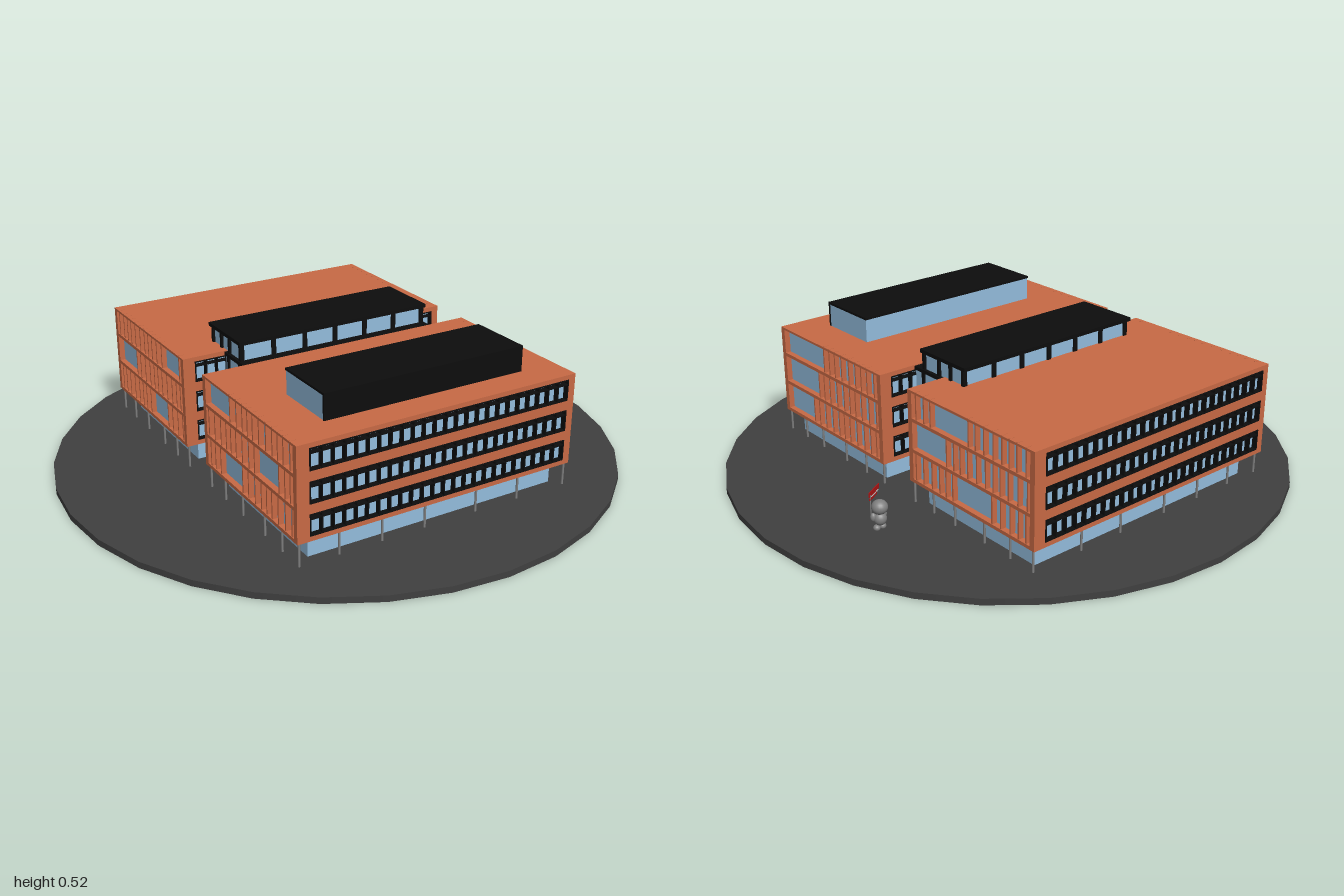
import * as THREE from 'three';
import { mergeGeometries } from 'three/addons/utils/BufferGeometryUtils.js';

const mat = (color) => new THREE.MeshStandardMaterial({ color });
const brick = mat(0xc86a45), glass = mat(0x93bcdc), black = mat(0x0d0d0d);
const asphalt = mat(0x404040), steel = mat(0x808080), red = mat(0xb01515), white = mat(0xe8e8e8);

const X0 = -0.535, X1 = 0.51;           // width of both blocks
const BASE = 0.105, ROOF = 0.43;        // underside and top of both blocks
const FLOORS = [0.105, 0.213, 0.322];   // floor slab levels
const WALL = 0.02;

function add(group, name, geometry, material) {
  const mesh = new THREE.Mesh(geometry, material);
  mesh.name = name;
  group.add(mesh);
  return mesh;
}

// Box from its limits
function span(x0, x1, y0, y1, z0, z1) {
  return new THREE.BoxGeometry(x1 - x0, y1 - y0, z1 - z0)
    .translate((x0 + x1) / 2, (y0 + y1) / 2, (z0 + z1) / 2);
}

function rectPath(PathType, x0, x1, y0, y1) {
  const p = new PathType();
  p.moveTo(x0, y0);
  p.lineTo(x1, y0);
  p.lineTo(x1, y1);
  p.lineTo(x0, y1);
  p.closePath();
  return p;
}

// Brick wall with three window strips; its outer face is at z = 0, facing +z
function createFacade() {
  const facade = new THREE.Group();
  facade.name = 'facade';
  const wx0 = X0 + 0.045, wx1 = X1 - 0.03;
  const wall = rectPath(THREE.Shape, X0, X1, BASE, ROOF);
  const bars = [];
  for (const f of FLOORS) {
    const y0 = f + 0.018, y1 = f + 0.092;
    wall.holes.push(rectPath(THREE.Path, wx0, wx1, y0, y1));
    // Window frame, transom and mullions
    for (const y of [y0, y0 + 0.055, y1 - 0.004]) bars.push(span(wx0, wx1, y, y + 0.004, -WALL, 0.003));
    for (let i = 0; i <= 24; i++) {
      const x = wx0 + (wx1 - wx0) * i / 24;
      bars.push(span(x - 0.002, x + 0.002, y0, y1, -WALL, 0.003));
    }
  }
  const geometry = new THREE.ExtrudeGeometry(wall, { depth: WALL, bevelEnabled: false });
  add(facade, 'brickWall', geometry.translate(0, 0, -WALL), brick);
  add(facade, 'windowFrames', mergeGeometries(bars), black);
  return facade;
}

// Office block between z0 and z1, raised on columns over a glazed ground floor
function createBlock(name, z0, z1, gaps) {
  const block = new THREE.Group();
  block.name = name;

  const front = createFacade();
  front.position.z = z1;
  const back = createFacade();
  back.rotation.y = Math.PI;
  back.position.set(X0 + X1, 0, z0);
  block.add(front, back);

  add(block, 'glassCore',
    span(X0 + 0.02, X1 - 0.02, BASE + 0.004, ROOF - 0.006, z0 + 0.016, z1 - 0.016), glass);
  add(block, 'roof', span(X0, X1, ROOF - 0.008, ROOF, z0 + 0.001, z1 - 0.001), brick);
  add(block, 'floorSlabs', mergeGeometries(FLOORS.map((f) =>
    span(X0, X1, f, f + 0.012, z0 + 0.001, z1 - 0.001))), brick);

  // Vertical side fins, leaving one wide pane per floor
  const fins = [];
  for (const [x0, x1, side] of [[X0 + 0.002, X0 + 0.022, 0], [X1 - 0.022, X1 - 0.002, 1]]) {
    FLOORS.forEach((f, floor) => {
      const [start, end] = gaps[side][floor];
      for (let i = 1; i < 16; i++) {
        const t = i / 16 + 0.008 * Math.sin(i * 5 + floor * 2);
        if (t > start && t < end) continue;
        const z = z1 - t * (z1 - z0);
        fins.push(span(x0, x1, f + 0.01, f + 0.109, z - 0.003, z + 0.003));
      }
    });
  }
  add(block, 'sideFins', mergeGeometries(fins), brick);

  add(block, 'groundFloorGlass', span(-0.475, 0.468, 0.02, BASE, z0 + 0.045, z1 - 0.045), glass);

  // Columns round the perimeter
  const columns = [];
  const column = (x, z) => columns.push(
    new THREE.CylinderGeometry(0.004, 0.004, 0.085, 8).translate(x, 0.0625, z));
  for (const x of [-0.525, -0.385, -0.23, -0.07, 0.13, 0.3, 0.497]) {
    column(x, z0 + 0.018);
    column(x, z1 - 0.008);
  }
  for (const t of [0.18, 0.36, 0.6, 0.8]) {
    for (const x of [-0.525, 0.497]) column(x, z1 - t * (z1 - z0));
  }
  add(block, 'columns', mergeGeometries(columns), steel);
  return block;
}

// Glazed link between the blocks with a raised roof lantern
function createAtrium() {
  const atrium = new THREE.Group();
  atrium.name = 'atrium';
  const x0 = -0.38, x1 = 0.37;
  add(atrium, 'linkGlass', span(x0 + 0.006, x1 - 0.006, BASE, 0.42, -0.105, 0.045), glass);
  add(atrium, 'lanternGlass', span(x0 + 0.012, x1 - 0.012, 0.42, 0.488, -0.205, 0), glass);
  add(atrium, 'lanternRoof', span(x0, x1, 0.485, 0.498, -0.222, 0.012), black);
  add(atrium, 'linkRoof', span(x0, x1, 0.415, 0.427, -0.105, 0.045), black);

  const frame = [];
  for (const y of [BASE, 0.213, 0.322]) frame.push(span(x0, x1, y - 0.003, y + 0.009, -0.105, 0.045));
  for (const z of [0, -0.08]) frame.push(span(x0, x1, BASE, 0.42, z - 0.006, z + 0.006));
  for (let i = 0; i <= 6; i++) {
    const x = x0 + 0.012 + (x1 - x0 - 0.024) * i / 6;
    for (const z of [0, -0.205]) frame.push(span(x - 0.008, x + 0.008, 0.42, 0.486, z - 0.006, z + 0.006));
  }
  for (const x of [x0 + 0.01, x1 - 0.01]) {
    for (const z of [-0.08, -0.14]) frame.push(span(x - 0.006, x + 0.006, 0.42, 0.486, z - 0.006, z + 0.006));
  }
  add(atrium, 'frame', mergeGeometries(frame), black);
  return atrium;
}

// Roof room: dark front and cap, glazed sides and back
function createRoofRoom() {
  const room = new THREE.Group();
  room.name = 'roofRoom';
  add(room, 'roomGlass', span(-0.378, 0.368, ROOF, 0.514, 0.327, 0.555), glass);
  add(room, 'roomCap', span(-0.38, 0.37, 0.512, 0.52, 0.325, 0.56), black);
  add(room, 'roomFront', span(-0.38, 0.37, ROOF, 0.52, 0.553, 0.56), black);
  return room;
}

// Small standing figure holding up a flag
function createFigure() {
  const figure = new THREE.Group();
  figure.name = 'figure';
  const ball = (name, r, x, y, z, sy = 1) => {
    const mesh = add(figure, name, new THREE.SphereGeometry(r, 20, 14), steel);
    mesh.position.set(x, y, z);
    mesh.scale.y = sy;
  };
  ball('head', 0.027, 0, 0.108, 0, 0.9);
  ball('body', 0.022, 0, 0.068, 0, 1.05);
  for (const s of [-1, 1]) {
    ball('foot', 0.012, s * 0.011, 0.036, 0.004, 0.9);
    ball('arm', 0.01, s * 0.02, 0.075, 0.008, 1.5);
  }
  const flag = new THREE.Group();
  flag.name = 'flag';
  add(flag, 'flagCloth', new THREE.BoxGeometry(0.074, 0.016, 0.003).translate(0, 0.009, 0), red);
  add(flag, 'flagStripe', new THREE.BoxGeometry(0.05, 0.005, 0.003).translate(-0.006, -0.002, 0), white);
  add(flag, 'flagHem', new THREE.BoxGeometry(0.055, 0.008, 0.003).translate(0.006, -0.008, 0), red);
  flag.position.set(-0.013, 0.133, 0.048);
  flag.rotation.y = 0.55;
  figure.add(flag);
  const pole = add(figure, 'flagPole', new THREE.CylinderGeometry(0.002, 0.002, 0.075, 8), steel);
  pole.position.set(0.012, 0.105, 0.032);
  figure.position.set(0.695, 0, -0.195);
  return figure;
}

export function createModel() {
  const model = new THREE.Group();
  model.name = 'officeBuilding';
  const disc = new THREE.CylinderGeometry(1, 1, 0.022, 32).translate(0, 0.014, 0);
  add(model, 'groundDisc', disc, asphalt);

  // Wide panes per side (-x, +x) and floor, as fractions from front to back
  model.add(createBlock('frontBlock', 0.045, 0.665,
    [[[0.6, 0.8], [0.2, 0.4], [0.7, 0.95]], [[0, 0.3], [0.05, 0.35], [0, 0.4]]]));
  model.add(createBlock('backBlock', -0.715, -0.105,
    [[[0.3, 0.5], [0.72, 0.98], [0.1, 0.3]], [[0.4, 0.65], [0.05, 0.3], [0.2, 0.5]]]));
  model.add(createAtrium(), createRoofRoom(), createFigure());
  return model;
}
